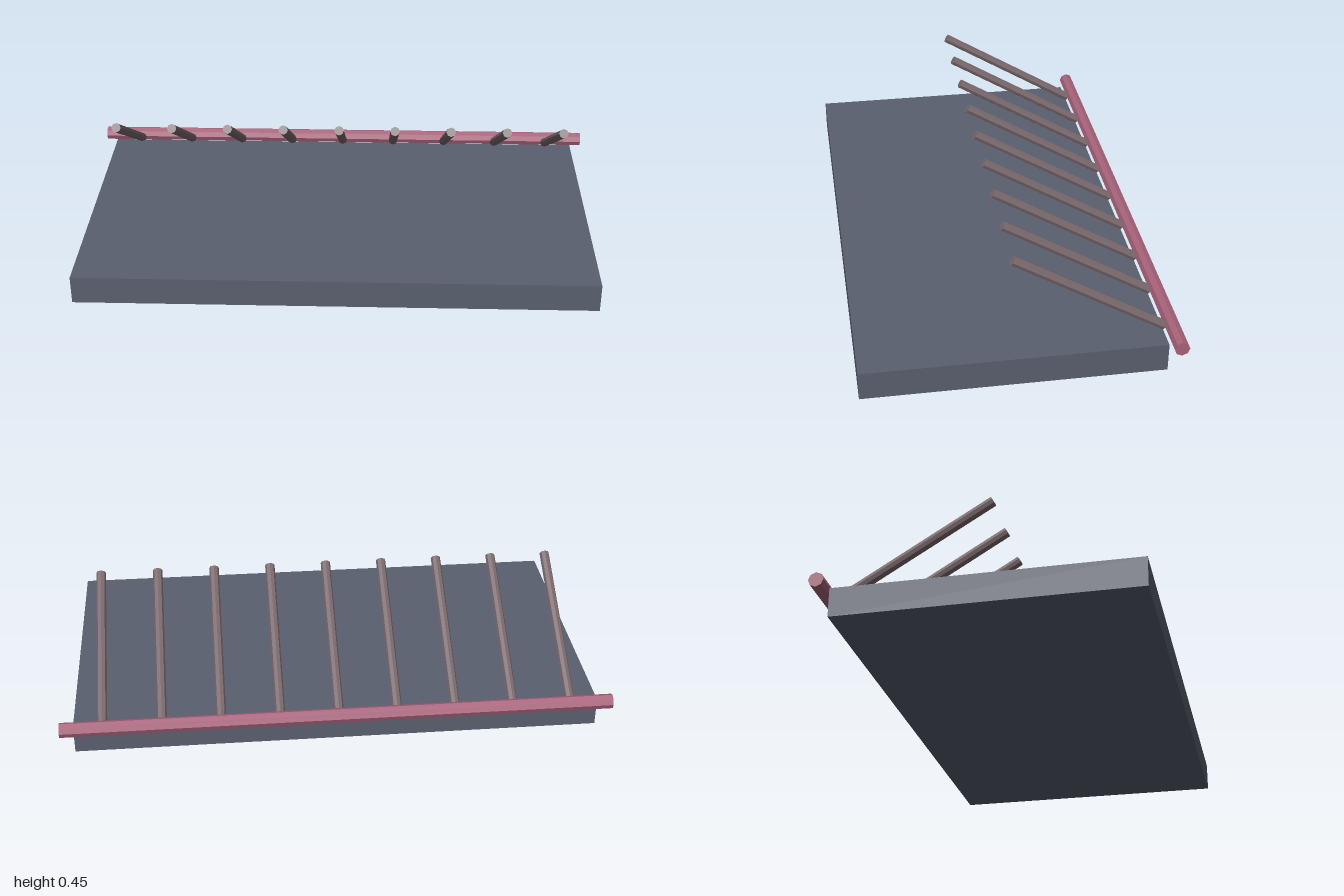
import * as THREE from 'three';

export function createModel() {
  const group = new THREE.Group();
  const material = (name, color) => {
    const m = new THREE.MeshStandardMaterial({ color, flatShading: true });
    m.name = name;
    return m;
  };
  const slate = material('slate', 0x5a5f6f);
  const rose = material('rose', 0xa8637a);
  const brown = material('greyBrown', 0x7a696d);

  const add = (name, geometry, mat, x, y, z) => {
    const mesh = new THREE.Mesh(geometry, mat);
    mesh.name = name;
    mesh.position.set(x, y, z);
    group.add(mesh);
    return mesh;
  };

  // Flat base slab
  add('base', new THREE.BoxGeometry(1.91, 0.106, 1.063), slate, 0, 0.053, 0.03);

  // Hinge rod along the back edge
  const rod = add('hingeRod', new THREE.CylinderGeometry(0.027, 0.027, 2, 8), rose, 0, 0.119, -0.534);
  rod.rotation.z = Math.PI / 2;

  // Nine slanted tines rising forward from the rod
  const foot = new THREE.Vector3(0, 0.113, -0.509);
  const tip = new THREE.Vector3(0, 0.438, 0.028);
  const span = tip.clone().sub(foot);
  const middle = foot.clone().add(tip).multiplyScalar(0.5);
  const tineGeometry = new THREE.CylinderGeometry(0.018, 0.018, span.length(), 8);
  for (let i = -4; i <= 4; i++) {
    const tine = add('tine' + (i + 5), tineGeometry, brown, i * 0.2125, middle.y, middle.z);
    tine.rotation.x = Math.atan2(span.z, span.y);
  }
  return group;
}
